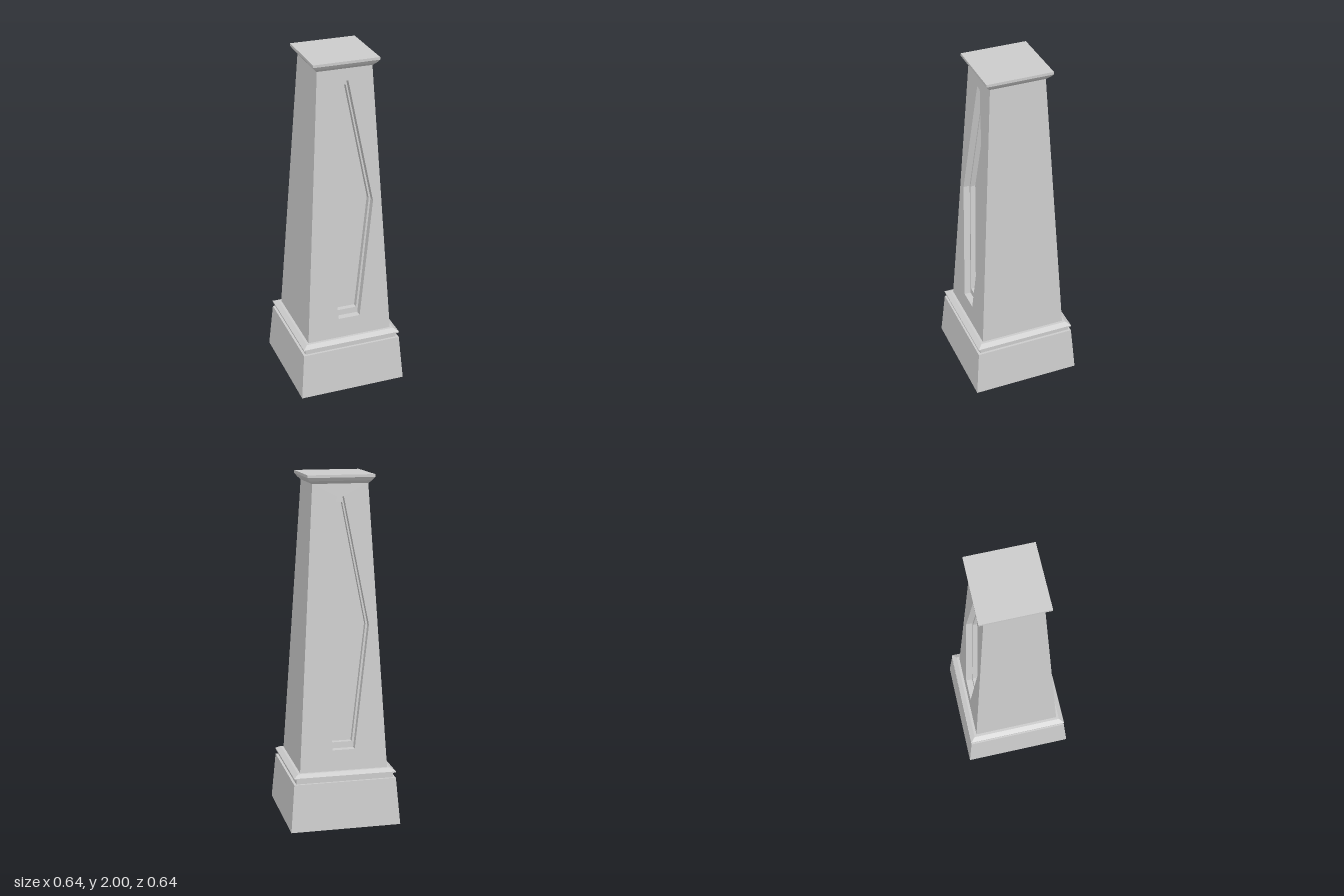
import * as THREE from 'three';

const SHAFT_BOTTOM = 0.33, SHAFT_TOP = 1.955;
const material = new THREE.MeshStandardMaterial({ color: 0xcccccc, flatShading: true });

// Half width of the tapering shaft at a height
const half = (y) => THREE.MathUtils.mapLinear(y, SHAFT_BOTTOM, SHAFT_TOP, 0.255, 0.158);

function mesh(name, geometry) {
  const g = geometry.index ? geometry.toNonIndexed() : geometry;
  g.computeVertexNormals();
  const m = new THREE.Mesh(g, material);
  m.name = name;
  return m;
}

// Square moulding swept from [half width, height] pairs
function squareMoulding(name, profile) {
  const points = profile.map(([w, y]) => new THREE.Vector2(w * Math.SQRT2, y));
  return mesh(name, new THREE.LatheGeometry(points, 4, Math.PI / 4));
}

// Counterclockwise, symmetric outline from its right-hand points, bottom to top
function outline(rightSide) {
  const left = rightSide.map(([x, y]) => [-x, y]).reverse();
  return [...rightSide, ...left].map(([x, y]) => new THREE.Vector2(x, y));
}

// Flat panel laid on the leaning shaft face, set back by depth
function panel(name, points, depth, hole) {
  const shape = new THREE.Shape(points);
  if (hole) shape.holes.push(new THREE.Path(hole));
  const g = new THREE.ShapeGeometry(shape);
  const p = g.attributes.position;
  for (let i = 0; i < p.count; i++) p.setZ(i, half(p.getY(i)) - depth);
  return mesh(name, g);
}

// Inward-facing walls of a recess between two depths
function recessWalls(name, points, near, far) {
  const v = [];
  points.forEach((a, i) => {
    const b = points[(i + 1) % points.length];
    const at = (p, d) => [p.x, p.y, half(p.y) - d];
    v.push(...at(a, near), ...at(b, near), ...at(a, far));
    v.push(...at(b, near), ...at(b, far), ...at(a, far));
  });
  const g = new THREE.BufferGeometry();
  g.setAttribute('position', new THREE.Float32BufferAttribute(v, 3));
  return mesh(name, g);
}

export function createModel() {
  const model = new THREE.Group();
  model.name = 'pedestal';

  // Plinth, neck and base moulding
  model.add(squareMoulding('plinth', [[0, 0], [0.32, 0], [0.297, 0.275], [0, 0.275]]));
  model.add(squareMoulding('neck', [[0.283, 0.275], [0.283, 0.306]]));
  model.add(squareMoulding('baseMoulding',
    [[0, 0.306], [0.297, 0.306], [0.297, 0.313], [0.27, SHAFT_BOTTOM], [0, SHAFT_BOTTOM]]));

  // Shaft: stepped recess in front and back, plain sides
  const face = outline([[half(SHAFT_BOTTOM), SHAFT_BOTTOM], [half(SHAFT_TOP), SHAFT_TOP]]);
  const outer = outline([[0.065, 0.45], [0.155, 1.16], [0.019, 1.88]]);
  const inner = outline([[0.057, 0.485], [0.144, 1.16], [0.017, 1.845]]);
  const step = 0.038, floor = 0.068;
  ['front', 'left', 'back', 'right'].forEach((side, i) => {
    const group = new THREE.Group();
    group.name = side + 'ShaftSide';
    group.rotation.y = i * Math.PI / 2;
    if (i % 2) {
      group.add(panel('shaftFace', face, 0));
    } else {
      group.add(
        panel('shaftFace', face, 0, outer),
        recessWalls('outerRecessWalls', outer, 0, step),
        panel('recessLedge', outer, step, inner),
        recessWalls('innerRecessWalls', inner, step, floor),
        panel('recessFloor', inner, floor));
    }
    model.add(group);
  });

  // Flared cap
  model.add(squareMoulding('cap',
    [[0, 1.95], [0.16, 1.95], [0.176, 1.966], [0.19, 1.985], [0.19, 2], [0, 2]]));
  return model;
}
